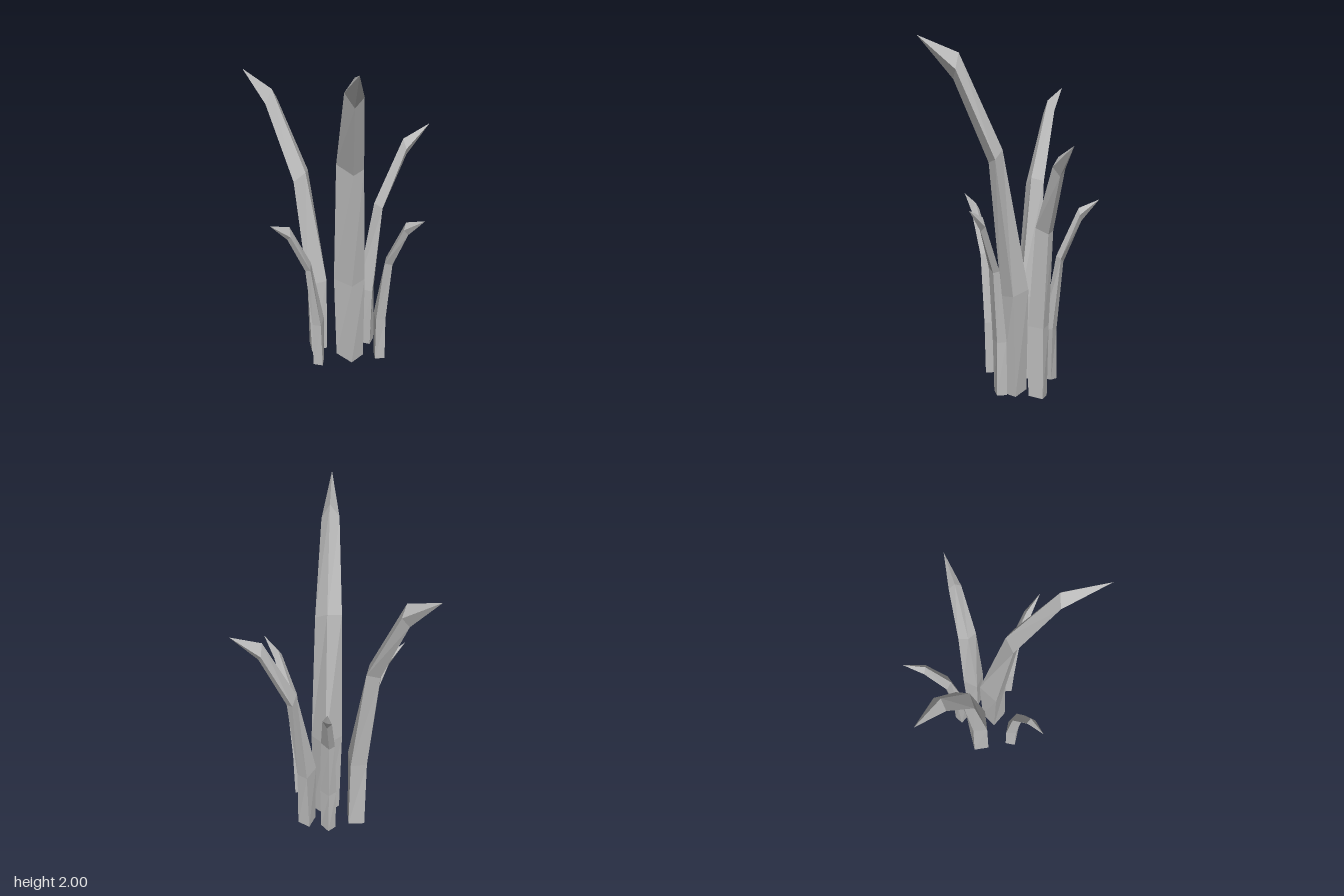
import * as THREE from 'three';

// Kite-shaped sections of one blade leaning toward +z.
// Each ring: corners outer (+z), right (+x), inner (-z), left (-x)
const RINGS = [
  [[0.005, 0.005, 0.075], [0.082, 0, 0], [0, 0.012, -0.073], [-0.082, 0.022, 0]],
  [[0.008, 0.57, 0.072], [0.087, 0.58, 0.015], [0, 0.6, -0.083], [-0.092, 0.59, 0.012]],
  [[0.01, 1.32, 0.14], [0.068, 1.34, 0.11], [0, 1.39, 0.062], [-0.077, 1.37, 0.098]],
  [[-0.002, 1.77, 0.328], [0.045, 1.82, 0.318], [0, 1.91, 0.297], [-0.05, 1.84, 0.302]],
];
const TIP = [0, 2, 0.519];

function bladeGeometry() {
  const pos = [];
  const tri = (a, b, c) => pos.push(...a, ...b, ...c);
  for (let i = 0; i < 4; i++) {
    const j = (i + 1) % 4;
    for (let r = 0; r < 3; r++) {
      const lo = RINGS[r], hi = RINGS[r + 1];
      tri(lo[i], lo[j], hi[j]);
      tri(lo[i], hi[j], hi[i]);
    }
    tri(RINGS[3][i], RINGS[3][j], TIP);
  }
  // bottom cap
  const b = RINGS[0];
  tri(b[0], b[2], b[1]);
  tri(b[0], b[3], b[2]);
  const g = new THREE.BufferGeometry();
  g.setAttribute('position', new THREE.Float32BufferAttribute(pos, 3));
  g.computeVertexNormals();
  return g;
}

// name, base centre, tip
const BLADES = [
  ['frontBlade', [-0.02, 0, -0.01], [-0.14, 2, 0.495]],
  ['backRightBlade', [-0.18, 0.01, -0.15], [-0.467, 1.74, -0.493]],
  ['leftBlade', [0.117, 0.008, -0.102], [0.497, 1.432, -0.137]],
  ['rightBlade', [-0.237, 0.058, 0.05], [-0.5, 1.105, 0.13]],
  ['frontLeftBlade', [0.123, 0.058, 0.12], [0.28, 1.105, 0.342]],
  ['backBlade', [0.005, 0.058, -0.223], [0.07, 1.105, -0.493]],
];

export function createModel() {
  const group = new THREE.Group();
  group.name = 'grassTuft';
  const grey = new THREE.MeshStandardMaterial({ color: 0xbcbcbc, flatShading: true });
  grey.name = 'grey';
  const geometry = bladeGeometry();

  // Same blade turned and scaled so its tip lands on each target
  for (const [name, base, tip] of BLADES) {
    const dx = tip[0] - base[0], dz = tip[2] - base[2];
    const height = (tip[1] - base[1]) / TIP[1];
    const blade = new THREE.Mesh(geometry, grey);
    blade.name = name;
    blade.position.set(...base);
    blade.rotation.y = Math.atan2(dx, dz);
    blade.scale.set(height, height, Math.hypot(dx, dz) / TIP[2]);
    group.add(blade);
  }
  return group;
}
